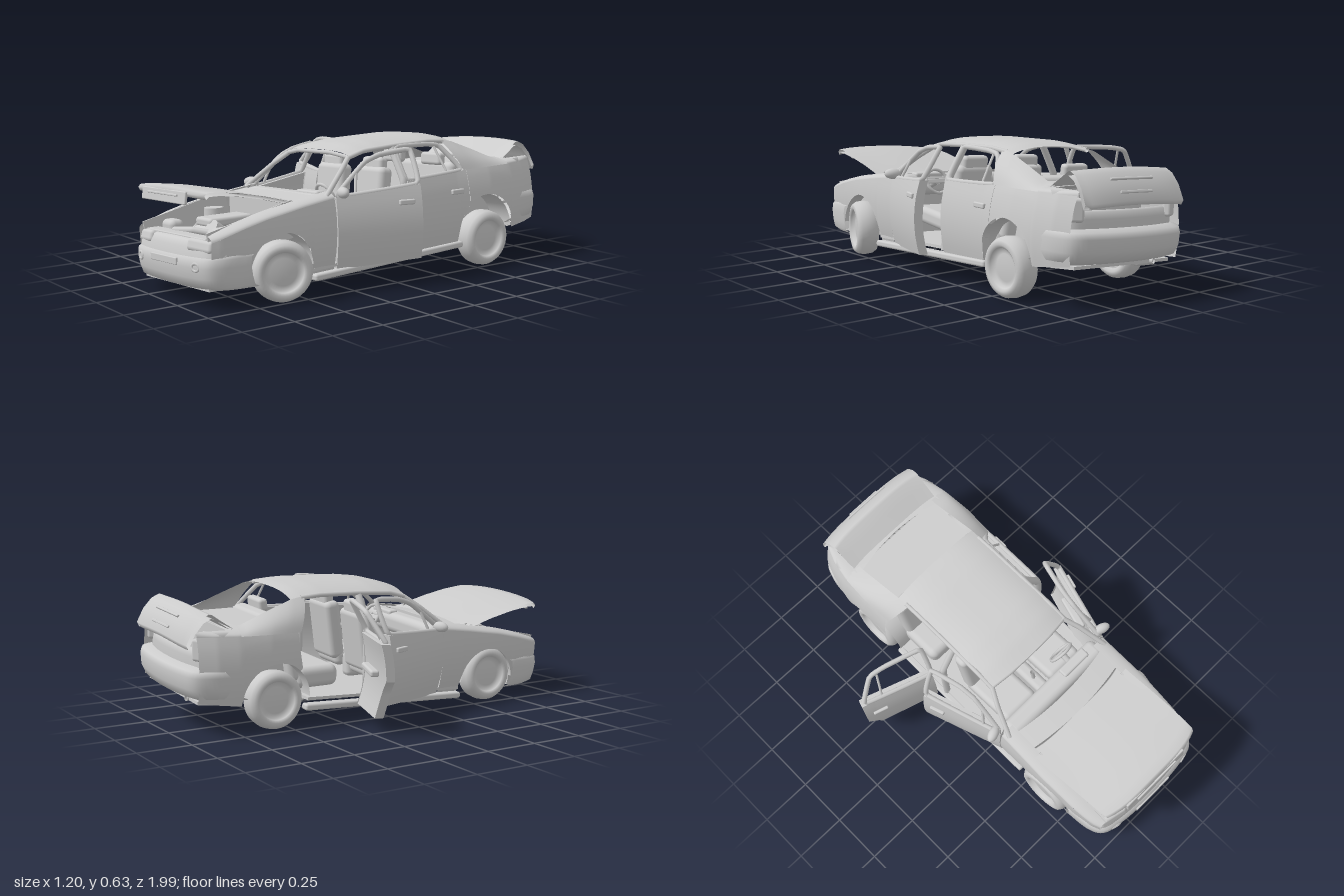
import * as THREE from 'three';
import { RoundedBoxGeometry } from 'three/addons/geometries/RoundedBoxGeometry.js';

const mat = new THREE.MeshStandardMaterial({ color: 0xcccccc, side: THREE.DoubleSide });
const V = (x, y, z) => new THREE.Vector3(x, y, z);

function add(parent, name, geo, x = 0, y = 0, z = 0, rx = 0, ry = 0, rz = 0) {
  const m = new THREE.Mesh(geo, mat);
  m.name = name;
  m.position.set(x, y, z);
  m.rotation.set(rx, ry, rz);
  parent.add(m);
  return m;
}
const box = (w, h, d) => new RoundedBoxGeometry(w, h, d, 3, Math.min(w, h, d) * 0.35);
const cyl = (r, h, n = 20) => new THREE.CylinderGeometry(r, r, h, n);

// Smooth sheet: fn(u, v) gives a point, u and v run 0..1
function sheet(nu, nv, fn) {
  const pos = [], idx = [];
  for (let i = 0; i <= nu; i++) for (let j = 0; j <= nv; j++) pos.push(...fn(i / nu, j / nv));
  for (let i = 0; i < nu; i++) for (let j = 0; j < nv; j++) {
    const a = i * (nv + 1) + j, b = a + nv + 1;
    idx.push(a, b, a + 1, b, b + 1, a + 1);
  }
  const g = new THREE.BufferGeometry();
  g.setAttribute('position', new THREE.Float32BufferAttribute(pos, 3));
  g.setIndex(idx);
  g.computeVertexNormals();
  return g;
}
const rod = (pts, r, closed = false) => new THREE.TubeGeometry(
  new THREE.CatmullRomCurve3(pts, closed, 'catmullrom', 0.1), pts.length * 8, r, 8, closed);

// Value read from a short table of [z, value], z falling
function tab(z, t) {
  if (z >= t[0][0]) return t[0][1];
  for (let i = 1; i < t.length; i++) if (z >= t[i][0])
    return THREE.MathUtils.mapLinear(z, t[i - 1][0], t[i][0], t[i - 1][1], t[i][1]);
  return t[t.length - 1][1];
}
const lerp = THREE.MathUtils.lerp;
const halfWidth = z => tab(z, [[0.95, 0.305], [0.9, 0.325], [0.8, 0.34], [0.6, 0.352], [0, 0.355], [-0.4, 0.358],
  [-0.6, 0.368], [-0.75, 0.36], [-0.85, 0.342], [-0.93, 0.312]]);
const belt = z => tab(z, [[0.95, 0.268], [0.89, 0.288], [0.8, 0.316], [0.68, 0.345], [0.5, 0.375], [0.33, 0.398], [-0.1, 0.432], [-0.46, 0.453], [-0.93, 0.46]]);
const sill = z => tab(z, [[0.95, 0.075], [0.4, 0.075], [-0.45, 0.11], [-0.95, 0.175]]);
const ARCHES = [[0.61, 0.125, 0.155], [-0.57, 0.155, 0.172]];
function lower(z) {
  let y = sill(z);
  for (const [c, cy, r] of ARCHES) if (Math.abs(z - c) < r) y = Math.max(y, cy + Math.sqrt(r * r - (z - c) ** 2));
  return y;
}
const sideX = (y, z) => y < 0.45 ? halfWidth(z) - 0.9 * (y - 0.28) ** 2 : halfWidth(z) - 0.026 - (y - 0.45) * 0.57;
const frameAt = (s, z, y) => V(s * (sideX(y, z) - 0.012), y, z);

const sidePanel = (s, z0, z1, inset = 0) => sheet(48, 8, (u, v) => {
  const z = lerp(z0, z1, u), y = lerp(lower(z), belt(z), v);
  return [s * (sideX(y, z) - inset), y, z];
});
// Rounded edge from the top of the side panel in to an opening
const shoulder = (s, z0, z1, xin, rise) => sheet(20, 8, (u, v) => {
  const z = lerp(z0, z1, u), a = v * Math.PI / 2, y = belt(z), x = sideX(y, z);
  return [s * lerp(x, Math.min(x, xin), 1 - Math.cos(a)), y + rise * Math.sin(a), z];
});
// Band wrapped round the nose or tail; profile rows are [y, set back]
function wrap(plan, u0, u1, profile) {
  const half = plan.map(p => V(p[0], 0, p[1]));
  const c = new THREE.CatmullRomCurve3([...half, ...half.slice(0, -1).reverse().map(p => V(-p.x, 0, p.z))]);
  return sheet(40, profile.length - 1, (u, v) => {
    const p = c.getPoint(lerp(u0, u1, u)), [y, d] = profile[Math.round(v * (profile.length - 1))];
    return [p.x * (1 - d), y, p.z - Math.sign(p.z) * d];
  });
}
// Crowned lid with bowed ends; profile rows are [z, y]
function lid(profile, w0, w1, crown, thick, bow) {
  const n = profile.length;
  const loop = [...profile, ...profile.slice().reverse().map(([z, y]) => [z - Math.sign(z) * thick * 0.5, y - thick]), profile[0]];
  return sheet(loop.length - 1, 16, (u, v) => {
    const i = Math.round(u * (loop.length - 1)), k = i < n ? i : Math.max(0, 2 * n - 1 - i);
    const t = v * 2 - 1, [z, y] = loop[i];
    return [t * lerp(w0, w1, k / (n - 1)), y - crown * t * t, z - Math.sign(z) * bow * t ** 4];
  });
}

function door(body, name, s, z0, z1, frame, angle, out) {
  const hx = s * 0.345, g = new THREE.Group(), inner = new THREE.Group();
  g.name = name;
  g.position.set(hx + s * out, 0, z0);
  g.rotation.y = -s * angle;
  inner.position.set(-hx, 0, -z0);
  g.add(inner);
  body.add(g);
  add(inner, 'doorSkin', sidePanel(s, z0, z1));
  add(inner, 'doorLining', sidePanel(s, z0 - 0.01, z1 + 0.01, 0.04));
  // Edges all round join skin and lining
  for (const z of [z0, z1]) add(inner, 'doorEdge', sheet(1, 8, (u, v) => {
    const y = lerp(lower(z), belt(z), v);
    return [s * (sideX(y, z) - 0.04 * u), y, z];
  }));
  for (const f of [lower, belt]) add(inner, 'doorRim', sheet(30, 1, (u, v) => {
    const z = lerp(z0, z1, u);
    return [s * (sideX(f(z), z) - 0.04 * v), f(z), z];
  }));
  add(inner, 'windowFrame', rod(frame.map(([z, y]) => frameAt(s, z, y)), 0.012, true));
  const hz = z1 + 0.075;
  add(inner, 'handle', box(0.018, 0.024, 0.075), s * (sideX(0.355, hz) + 0.003), 0.357, hz);
  add(inner, 'armrest', box(0.04, 0.03, 0.18), s * 0.295, 0.3, (z0 + z1) / 2);
  return inner;
}

function wheel(root, name, x, y, z, s, steer) {
  const g = new THREE.Group();
  g.name = name;
  g.position.set(x, y, z);
  g.rotation.y = steer;
  root.add(g);
  const p = [[0.085, -0.045], [0.1, -0.055], [0.118, -0.05], [0.13, -0.032], [0.134, 0], [0.13, 0.032], [0.118, 0.05], [0.1, 0.055], [0.087, 0.046], [0.083, 0.028], [0.06, 0.03], [0.03, 0.034], [0, 0.034]];
  add(g, 'tyreAndRim', new THREE.LatheGeometry(p.map(a => new THREE.Vector2(...a)), 40), 0, 0, 0, 0, 0, -s * Math.PI / 2);
  add(g, 'rimBarrel', cyl(0.085, 0.03, 32), -s * 0.02, 0, 0, 0, 0, Math.PI / 2);
}

export function createModel() {
  const root = new THREE.Group(), body = new THREE.Group();
  root.name = 'saloonCar';
  body.name = 'body';
  body.position.x = 0.143;
  body.rotation.z = 0.058;
  root.add(body);

  // Roof, rear deck and parcel shelf
  add(body, 'roof', sheet(28, 20, (u, v) => {
    const t = v * 2 - 1, z = lerp(0.16 + 0.03 * (1 - t * t), -0.45, u);
    const y = tab(z, [[0.19, 0.555], [0.1, 0.578], [0, 0.59], [-0.3, 0.598], [-0.4, 0.591], [-0.45, 0.58]]);
    return [t * 0.243, y + 0.033 * (1 - Math.abs(t) ** 3), z];
  }));
  add(body, 'windscreenHeader', rod([V(-0.23, 0.558, 0.165), V(-0.12, 0.575, 0.18), V(0.12, 0.575, 0.18), V(0.23, 0.558, 0.165)], 0.01));
  add(body, 'parcelShelf', new THREE.BoxGeometry(0.5, 0.015, 0.28), 0, 0.458, -0.6);
  add(body, 'rearDeck', sheet(5, 14, (u, v) => {
    const t = v * 2 - 1;
    return [t * 0.275, 0.483 + 0.008 * (1 - t * t) - 0.004 * u, lerp(-0.705 - 0.04 * (1 - t * t), -0.785, u)];
  }));

  const frontFrame = [[0.32, 0.4], [0.16, 0.538], [0.08, 0.566], [-0.072, 0.58], [-0.072, 0.432]];
  const rearFrame = [[-0.1, 0.435], [-0.1, 0.582], [-0.29, 0.583], [-0.365, 0.57], [-0.44, 0.452]];
  for (const s of [1, -1]) {
    const left = s > 0;
    add(body, 'frontFender', sidePanel(s, 0.94, 0.33));
    add(body, 'fenderTop', shoulder(s, 0.94, 0.33, 0.272, 0.025));
    add(body, 'rearQuarter', sidePanel(s, -0.46, -0.93));
    add(body, 'rearShoulder', shoulder(s, -0.74, -0.93, 0.265, 0.02));
    add(body, 'rearPillar', sheet(20, 8, (u, v) => {
      const zl = lerp(-0.445, -0.76, u), zu = lerp(-0.38, -0.74, u);
      const yu = tab(zu, [[-0.38, 0.598], [-0.45, 0.586], [-0.58, 0.539], [-0.7, 0.492], [-0.76, 0.484]]);
      const xl = sideX(belt(zl), zl), xu = lerp(0.238, 0.243, Math.sqrt(u));
      return [s * (lerp(xl, xu, v) + 0.016 * Math.sin(v * Math.PI)), lerp(belt(zl), yu, v), lerp(zl, zu, v)];
    }));
    add(body, 'windscreenPillar', rod([V(s * 0.32, 0.405, 0.36), V(s * 0.27, 0.505, 0.235), V(s * 0.233, 0.556, 0.165)], 0.012));
    add(body, 'roofRail', rod([[0.165, 0.556], [0.08, 0.579], [-0.1, 0.59], [-0.3, 0.595], [-0.4, 0.588]].map(p => V(s * 0.236, p[1], p[0])), 0.011));
    add(body, 'centrePillar', rod([V(s * 0.32, 0.11, -0.088), V(s * 0.315, 0.43, -0.088), V(s * 0.228, 0.588, -0.088)], 0.017));
    add(body, 'sill', box(0.05, 0.03, 0.87), s * 0.325, 0.083, 0.015, 0.047);
    // Wheel wells
    for (const [c, cy, r] of ARCHES) {
      const arc = new THREE.CylinderGeometry(r, r, 0.13, 28, 1, true, 0, Math.PI);
      add(body, 'wheelWell', arc, s * 0.275, cy, c, 0, 0, Math.PI / 2);
      add(body, 'wellWall', new THREE.CircleGeometry(r, 28, 0, Math.PI), s * 0.21, cy, c, 0, Math.PI / 2, 0);
    }
    // Doors
    const fd = door(body, left ? 'frontLeftDoor' : 'frontRightDoor', s, 0.325, -0.08, frontFrame, left ? 0.29 : 0.32, 0.004);
    add(fd, 'quarterLight', rod([frameAt(s, 0.23, 0.41), frameAt(s, 0.21, 0.495)], 0.007));
    add(fd, 'mirror', new THREE.SphereGeometry(1, 20, 14), s * 0.35, 0.42, 0.295).scale.set(0.042, 0.025, 0.024);
    add(fd, 'mirrorArm', rod([V(s * 0.315, 0.4, 0.295), V(s * 0.345, 0.415, 0.295)], 0.009));
    const rd = door(body, left ? 'rearLeftDoor' : 'rearRightDoor', s, -0.095, -0.458, rearFrame, left ? 0 : 1.25, left ? 0 : 0.026);
    add(rd, 'windowDivider', rod([frameAt(s, -0.35, 0.45), frameAt(s, -0.33, 0.578)], 0.006));
    // Seats
    add(body, 'seatCushion', box(0.2, 0.08, 0.3), s * 0.15, 0.22, 0.125, -0.1);
    add(body, 'seatBack', box(0.2, 0.29, 0.075), s * 0.15, 0.35, -0.03, -0.15);
    add(body, 'headrest', box(0.14, 0.075, 0.05), s * 0.15, 0.5, -0.055, -0.1);
    add(body, 'rearHeadrest', box(0.14, 0.06, 0.045), s * 0.145, 0.5, -0.42, -0.1);
    // Lamps and inner fenders
    add(body, 'headlamp', box(0.15, 0.055, 0.05), s * 0.222, 0.25, 0.932, -0.3, s * 0.22);
    add(body, 'fogLamp', new THREE.TorusGeometry(0.016, 0.006, 8, 20), s * 0.232, 0.168, 0.976, 0, s * 0.22).scale.x = 1.3;
    add(body, 'tailLamp', box(0.06, 0.1, 0.04), s * 0.262, 0.4, -0.908, 0, s * -0.5);
    add(body, 'strutTower', cyl(0.045, 0.1), s * 0.225, 0.29, 0.6);
    add(body, 'innerFender', new THREE.BoxGeometry(0.008, 0.16, 0.44), s * 0.272, 0.278, 0.71, 0.22);
  }

  // Nose
  const nose = [[0.343, 0.77], [0.328, 0.9], [0.295, 0.955], [0.2, 0.98], [0, 0.992]];
  add(body, 'frontBumper', wrap(nose, 0, 1, [[0.068, 0.045], [0.082, 0.015], [0.12, 0.003], [0.165, -0.004], [0.2, 0], [0.212, 0.02]]));
  add(body, 'noseBand', wrap(nose, 0.12, 0.88, [[0.205, 0.012], [0.245, 0.02], [0.272, 0.035], [0.278, 0.065]]));
  add(body, 'slamPanel', box(0.5, 0.014, 0.06), 0, 0.276, 0.905);
  add(body, 'numberPlate', box(0.22, 0.032, 0.012), 0, 0.182, 0.992);

  // Tail
  const tail = [[0.352, -0.76], [0.34, -0.87], [0.3, -0.945], [0.2, -0.975], [0, -0.99]];
  add(body, 'rearBumper', wrap(tail, 0, 1, [[0.172, 0.06], [0.19, 0.018], [0.23, 0], [0.285, -0.004], [0.312, 0.004], [0.322, 0.05]]));
  add(body, 'rearPanel', wrap(tail, 0.15, 0.85, [[0.32, 0.05], [0.36, 0.05], [0.39, 0.055], [0.395, 0.075]]));
  for (const [a, b] of [[0.13, 0.3], [0.7, 0.87]])
    add(body, 'rearCorner', wrap(tail, a, b, [[0.32, 0.048], [0.4, 0.05], [0.465, 0.06], [0.478, 0.08]]));
  add(body, 'bootFloor', new THREE.BoxGeometry(0.42, 0.012, 0.22), 0, 0.25, -0.83);
  add(body, 'bootBulkhead', new THREE.BoxGeometry(0.52, 0.28, 0.012), 0, 0.32, -0.74);

  // Open bonnet and boot lid
  add(body, 'bonnet', lid([[0.5, 0.4], [0.58, 0.42], [0.7, 0.452], [0.82, 0.477], [0.92, 0.49], [0.965, 0.49], [0.978, 0.478]], 0.305, 0.283, 0.014, 0.016, 0.03));
  add(body, 'bonnetLip', box(0.37, 0.055, 0.014), 0, 0.451, 0.976, -0.15);
  add(body, 'bonnetSlot', box(0.25, 0.01, 0.012), 0, 0.46, 0.984, -0.15);
  add(body, 'bootLid', lid([[-0.755, 0.487], [-0.82, 0.53], [-0.87, 0.564], [-0.885, 0.567], [-0.92, 0.55], [-0.96, 0.505], [-0.992, 0.44]], 0.268, 0.28, 0.012, 0.02, 0.015));
  add(body, 'bootLidTrim', box(0.24, 0.012, 0.012), 0, 0.526, -0.943, -0.7);
  add(body, 'bootLidHandle', box(0.18, 0.01, 0.012), 0, 0.475, -0.976, -1.1);

  // Engine bay
  add(body, 'bulkhead', new THREE.BoxGeometry(0.6, 0.29, 0.012), 0, 0.245, 0.46);
  add(body, 'cowl', sheet(6, 14, (u, v) => {
    const t = v * 2 - 1;
    return [t * 0.315, 0.402 + 0.012 * (1 - t * t) - 0.012 * u, lerp(0.36, 0.465, u) + 0.035 * (1 - t * t)];
  }));
  add(body, 'radiator', box(0.4, 0.14, 0.04), 0, 0.2, 0.915);
  add(body, 'engineBlock', box(0.19, 0.17, 0.26), 0, 0.22, 0.7);
  add(body, 'engineCover', box(0.13, 0.04, 0.22), 0.01, 0.315, 0.69);
  add(body, 'battery', box(0.1, 0.09, 0.07), -0.2, 0.27, 0.83);
  add(body, 'fluidTank', box(0.09, 0.08, 0.08), 0.21, 0.275, 0.83);
  add(body, 'airFilter', cyl(0.04, 0.05), 0.09, 0.285, 0.79, 0.9);
  add(body, 'pulley', cyl(0.035, 0.03), -0.04, 0.26, 0.85, Math.PI / 2);
  for (let i = 0; i < 4; i++) {
    const z = 0.61 + i * 0.05;
    add(body, 'intakeRunner', rod([V(0.04, 0.31, z), V(-0.06, 0.32, z), V(-0.12, 0.27, z)], 0.013));
  }
  add(body, 'hose', rod([V(0.09, 0.28, 0.82), V(0.03, 0.29, 0.86), V(-0.1, 0.28, 0.88)], 0.015));

  // Cabin
  add(body, 'dashboard', box(0.6, 0.1, 0.1), 0, 0.36, 0.335);
  add(body, 'instrumentHood', box(0.16, 0.03, 0.05), 0.15, 0.405, 0.32);
  add(body, 'centreConsole', box(0.07, 0.12, 0.32), 0, 0.19, 0.15);
  add(body, 'gearLever', rod([V(0, 0.24, 0.2), V(0, 0.31, 0.19)], 0.01));
  add(body, 'steeringWheel', new THREE.TorusGeometry(0.06, 0.008, 8, 28), 0.15, 0.385, 0.235, 0.45);
  add(body, 'steeringColumn', rod([V(0.15, 0.385, 0.235), V(0.15, 0.35, 0.31)], 0.016));
  add(body, 'steeringSpoke', box(0.115, 0.022, 0.01), 0.15, 0.385, 0.235, 0.45);
  add(body, 'rearBench', box(0.56, 0.1, 0.22), 0, 0.22, -0.32);
  add(body, 'rearBackrest', box(0.54, 0.28, 0.08), 0, 0.345, -0.44, -0.18);

  // Floor pan, narrowed between the wheels
  const plan = new THREE.Shape();
  const edge = [[0.27, 0.94], [0.31, 0.77], [0.21, 0.765], [0.21, 0.455], [0.325, 0.45], [0.325, -0.4], [0.21, -0.405], [0.21, -0.735], [0.32, -0.745], [0.27, -0.92]];
  plan.setFromPoints([...edge, ...edge.slice().reverse().map(([x, z]) => [-x, z])].map(p => new THREE.Vector2(...p)));
  add(body, 'floorPan', new THREE.ExtrudeGeometry(plan, { depth: 0.014, bevelEnabled: false }), 0, 0.125, 0, Math.PI / 2 + 0.05);

  // Running gear
  add(body, 'sumpGuard', box(0.28, 0.035, 0.26), 0.02, 0.066, 0.69, 0.05);
  add(body, 'driveShaft', rod([V(0, 0.085, 0.55), V(0, 0.1, 0), V(0, 0.13, -0.53)], 0.014));
  add(body, 'differential', new THREE.SphereGeometry(0.05, 18, 14), 0, 0.13, -0.57);
  add(body, 'exhaustPipe', rod([V(-0.09, 0.075, 0.62), V(-0.12, 0.08, 0.3), V(-0.12, 0.1, -0.35), V(-0.08, 0.13, -0.6), V(-0.17, 0.165, -0.93)], 0.012));
  add(body, 'frontSilencer', box(0.09, 0.04, 0.17), -0.12, 0.087, 0.12, 0.05);
  add(body, 'middleSilencer', box(0.09, 0.04, 0.17), -0.12, 0.1, -0.28, 0.05);
  add(body, 'rearSilencer', box(0.11, 0.045, 0.15), -0.16, 0.16, -0.83, 0.05);
  add(body, 'brakeLine', rod([V(0.14, 0.08, 0.5), V(0.14, 0.105, -0.3), V(0.1, 0.125, -0.5)], 0.007));
  for (const s of [1, -1]) add(body, 'trailingArm', rod([V(s * 0.2, 0.11, -0.36), V(s * 0.24, 0.12, -0.57)], 0.016));

  // Wheels and axles stand level on the ground; the front left wheel is turned
  for (const [z, name, half, steer] of [[0.61, 'front', 0.318, -0.33], [-0.57, 'rear', 0.312, 0]]) {
    for (const s of [1, -1]) wheel(root, name + (s > 0 ? 'LeftWheel' : 'RightWheel'), 0.14 + s * half, 0.134, z, s, s > 0 ? steer : 0);
    add(root, name + 'Axle', cyl(0.015, half * 2), 0.14, 0.132, z, 0, 0, Math.PI / 2);
  }
  return root;
}
